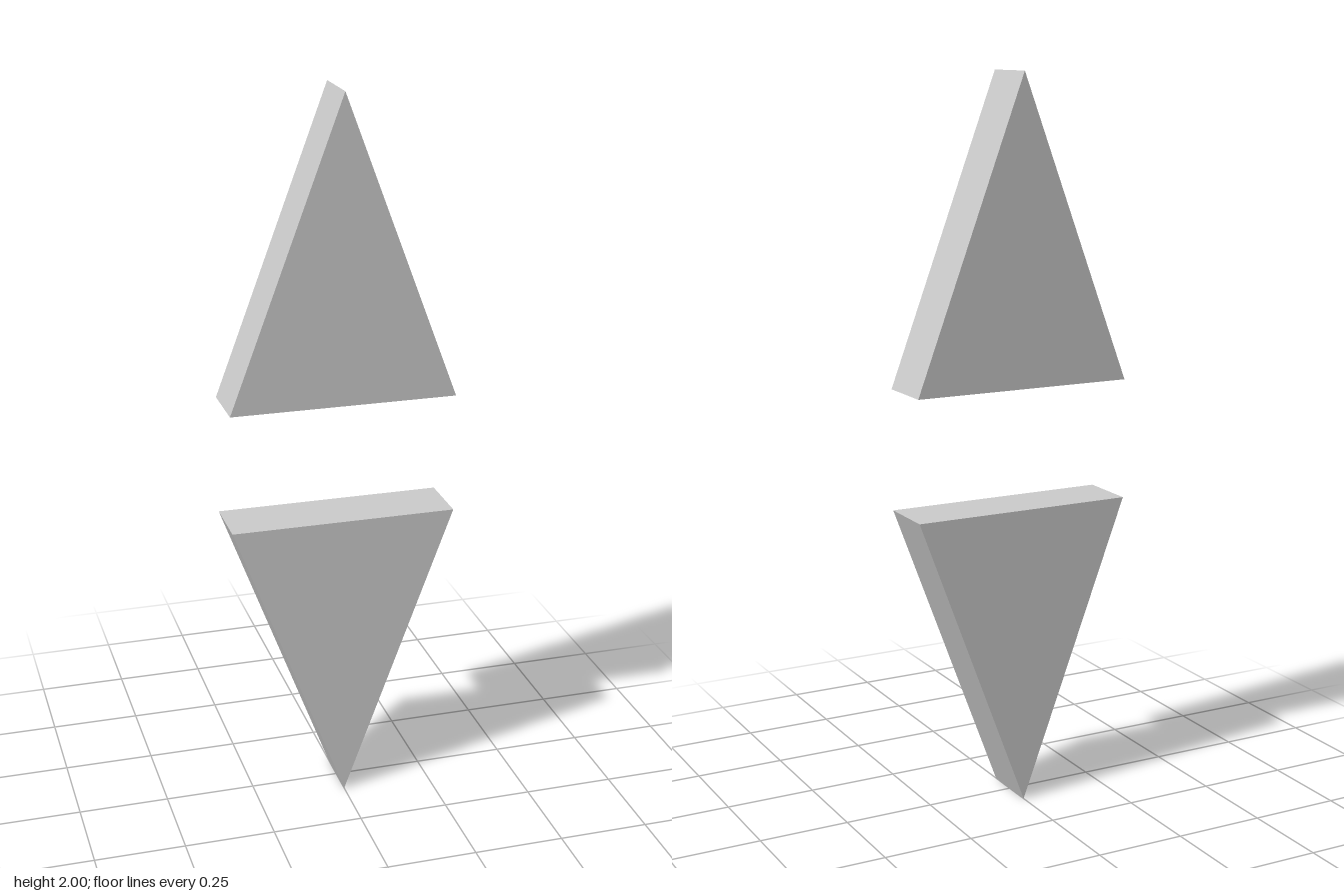
import * as THREE from 'three';

const HALF_WIDTH = 0.3125; // half the width of each wedge's base
const DEPTH = 1 / 6;       // thickness along z
const BASE = 1 / 6;        // distance of each base from the middle
const TIP = 1;             // distance of each tip from the middle

// Triangular slab; dir = 1 points up, dir = -1 points down
function wedge(name, dir, material) {
  const shape = new THREE.Shape([
    new THREE.Vector2(-HALF_WIDTH, dir * BASE),
    new THREE.Vector2(HALF_WIDTH, dir * BASE),
    new THREE.Vector2(0, dir * TIP),
  ]);
  const geometry = new THREE.ExtrudeGeometry(shape, { depth: DEPTH, bevelEnabled: false });
  geometry.translate(0, 0, -DEPTH / 2);
  const mesh = new THREE.Mesh(geometry, material);
  mesh.name = name;
  mesh.position.y = 1;
  return mesh;
}

export function createModel() {
  const group = new THREE.Group();
  group.name = 'upDownArrows';
  const material = new THREE.MeshStandardMaterial({ color: 0xcccccc, flatShading: true });
  group.add(wedge('upArrow', 1, material), wedge('downArrow', -1, material));
  return group;
}
